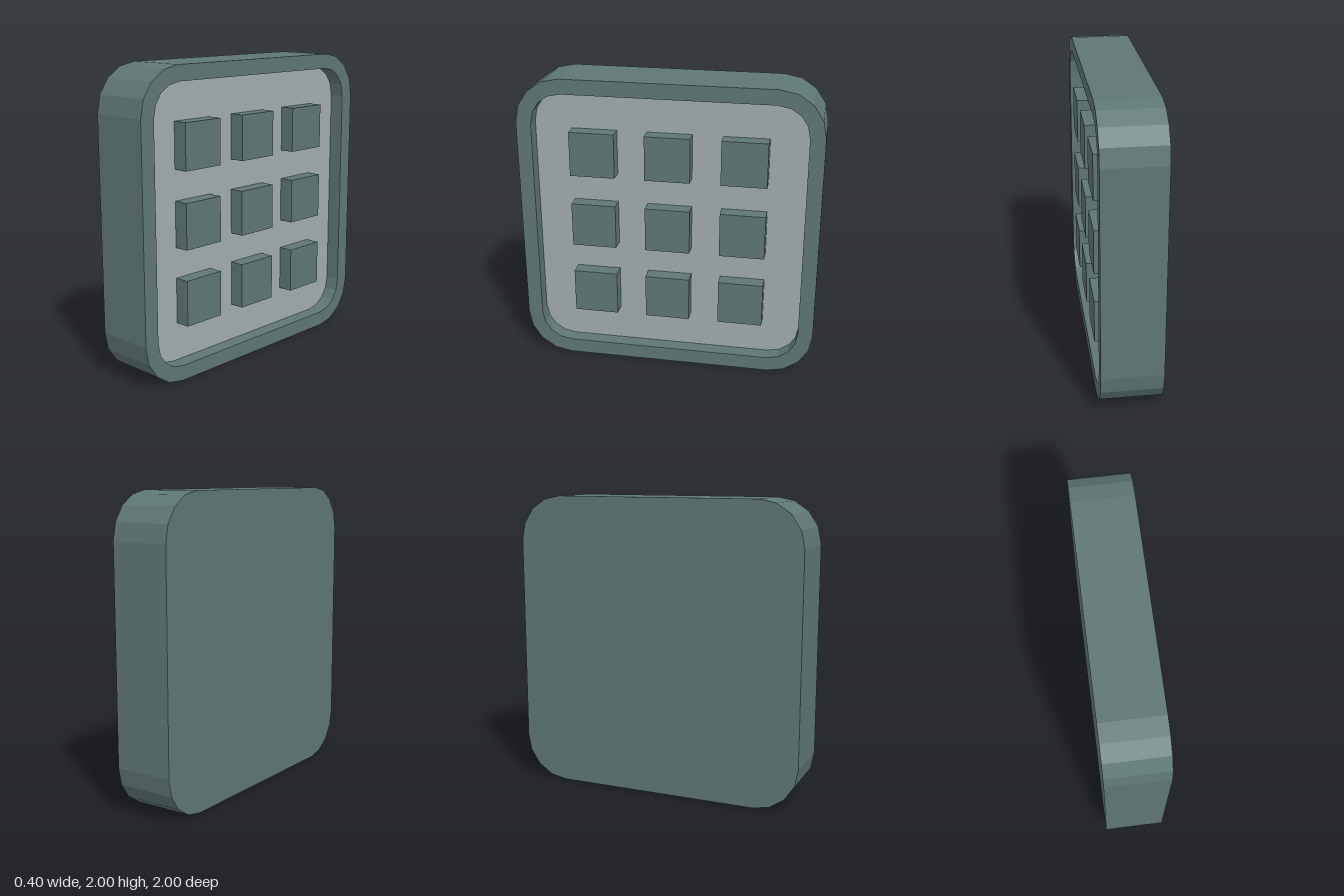
import * as THREE from 'three';

const HALF = 1, RADIUS = 0.3, STEPS = 4;

// Rounded square outline, optionally inset by an even, mitred distance
function outline(inset = 0) {
  const step = Math.PI / 2 / STEPS;
  const points = [];
  for (let corner = 0; corner < 4; corner++) {
    const start = corner * Math.PI / 2;
    const cx = (HALF - RADIUS) * Math.SQRT2 * Math.cos(start + Math.PI / 4);
    const cy = (HALF - RADIUS) * Math.SQRT2 * Math.sin(start + Math.PI / 4);
    for (let i = 0; i <= STEPS; i++) {
      const a = start + i * step;
      // the two end points of each corner join a straight side
      const lean = i === 0 ? step / 4 : i === STEPS ? -step / 4 : 0;
      const miter = inset / Math.cos(lean ? step / 4 : step / 2);
      points.push(new THREE.Vector2(
        cx + RADIUS * Math.cos(a) - miter * Math.cos(a + lean),
        cy + RADIUS * Math.sin(a) - miter * Math.sin(a + lean)));
    }
  }
  return points;
}

export function createModel() {
  const model = new THREE.Group();
  model.name = 'keypad';

  const body = new THREE.MeshStandardMaterial({ color: 0x5e7775, flatShading: true });
  body.name = 'slate teal';
  const pale = new THREE.MeshStandardMaterial({ color: 0xa0acac, flatShading: true });
  pale.name = 'pale grey';

  const add = (name, geometry, material, x, y = 1, z = 0) => {
    const mesh = new THREE.Mesh(geometry, material);
    mesh.name = name;
    mesh.position.set(x, y, z);
    model.add(mesh);
  };

  // Thick frame around the tray, facing +x
  const frame = new THREE.Shape(outline());
  frame.holes.push(new THREE.Path(outline(0.1)));
  add('frame', new THREE.ExtrudeGeometry(frame, { depth: 0.4, bevelEnabled: false })
    .rotateY(Math.PI / 2), body, -0.2);

  // Recessed panel and the closed back
  const inner = new THREE.Shape(outline(0.1));
  add('panel', new THREE.ShapeGeometry(inner).rotateY(Math.PI / 2), pale, 0.1);
  add('back', new THREE.ShapeGeometry(inner).rotateY(-Math.PI / 2), body, -0.2);

  // Three by three square buttons, level with the frame
  const button = new THREE.BoxGeometry(0.1, 0.3, 0.3);
  for (const y of [1.5, 1, 0.5]) {
    for (const z of [0.5, 0, -0.5]) add('button', button, body, 0.15, y, z);
  }
  return model;
}
